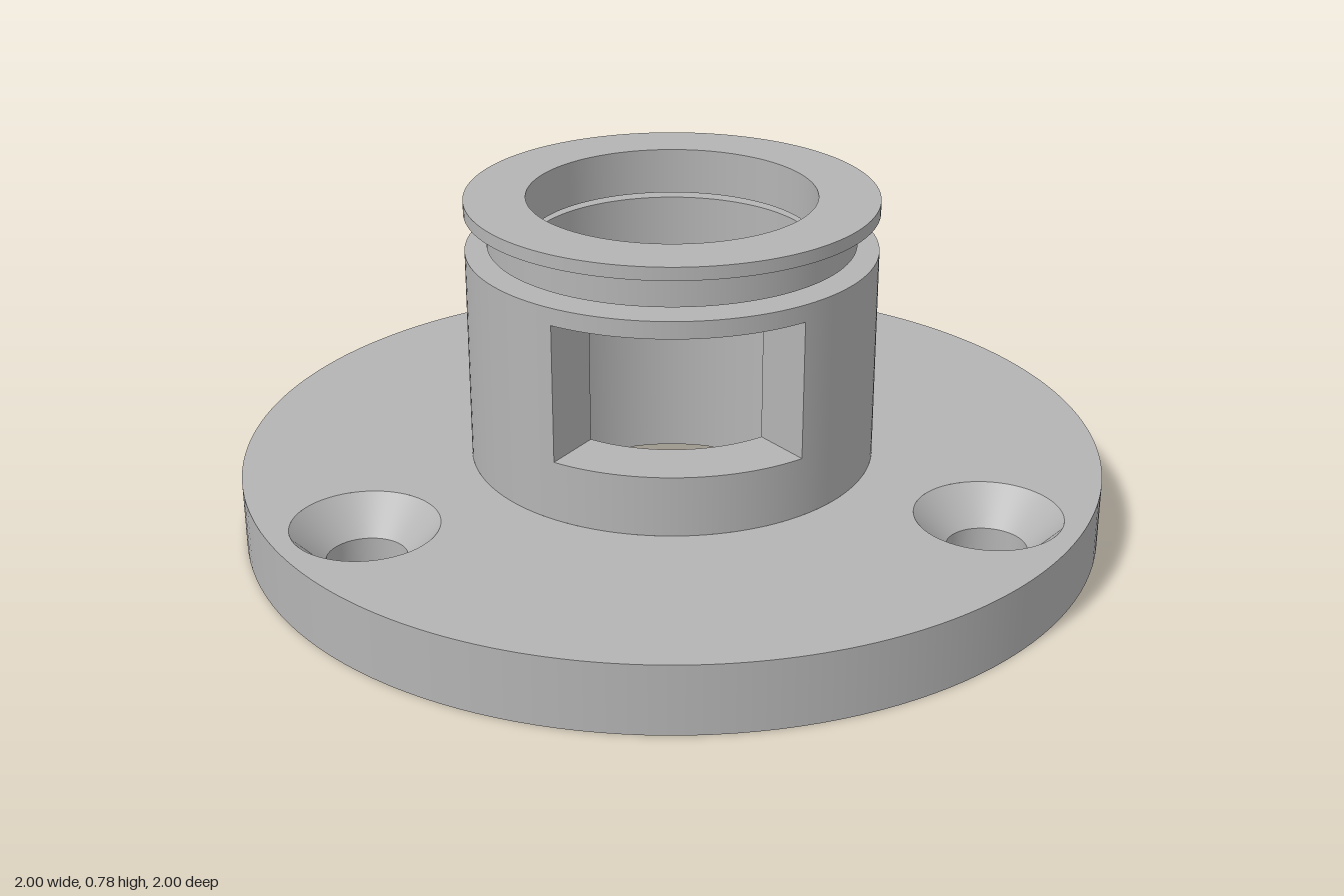
import * as THREE from 'three';
import { mergeGeometries } from 'three/addons/utils/BufferGeometryUtils.js';

const TAU = Math.PI * 2;
const STEP = TAU / 144;
const BORE = 0.33, BODY = 0.47, NECK = 0.42;      // radii
const BASE = 0.16;                                // flange thickness
const HOLE = 0.09, SINK = 0.165, SINK_Y = 0.08;   // screw holes
const SILL = 0.30, HEAD = 0.62, BODY_TOP = 0.66;  // window and body heights
const HALF = THREE.MathUtils.degToRad(35);        // half angle of the window

// Turned surface with a crisp edge at every profile point; angle 0 faces +z
function turn(profile, start = 0, length = TAU) {
  const bands = [];
  for (let i = 0; i + 1 < profile.length; i++) {
    const pts = [profile[i], profile[i + 1]].map(([r, y]) => new THREE.Vector2(r, y));
    bands.push(new THREE.LatheGeometry(pts, Math.round(length / STEP), start, length));
  }
  return mergeGeometries(bands);
}

// Closed ring with a rectangular section
const ring = (outer, y0, y1) =>
  turn([[outer, y0], [outer, y1], [BORE, y1], [BORE, y0], [outer, y0]]);

export function createModel() {
  const group = new THREE.Group();
  const metal = new THREE.MeshStandardMaterial({ color: 0xb4b4b4 });
  metal.name = 'grey metal';

  const add = (name, geometry) => {
    const mesh = new THREE.Mesh(geometry, metal);
    mesh.name = name;
    group.add(mesh);
    return mesh;
  };

  // Centres of the three screw holes, one at the back
  const centres = [0, 1, 2].map((i) => {
    const a = Math.PI + (i * TAU) / 3;
    return [0.79 * Math.sin(a), 0.79 * Math.cos(a)];
  });

  // Flange face pierced by the bore and the screw holes; side 1 is up, -1 down
  function flangeFace(side, y, centreRadius, holeRadius) {
    const shape = new THREE.Shape().absarc(0, 0, 1, 0, TAU);
    shape.holes.push(new THREE.Path().absarc(0, 0, centreRadius, 0, TAU, true));
    for (const [x, z] of centres) {
      shape.holes.push(new THREE.Path().absarc(x, -side * z, holeRadius, 0, TAU, true));
    }
    const face = new THREE.ShapeGeometry(shape, 144);
    return face.rotateX((-side * Math.PI) / 2).translate(0, y, 0);
  }

  // Flange
  add('flangeTop', flangeFace(1, BASE, BODY, SINK));
  add('flangeBottom', flangeFace(-1, 0, BORE, HOLE));
  add('flangeRim', turn([[1, 0], [1, BASE]]));
  add('flangeBore', turn([[BORE, BASE], [BORE, 0]]));

  // Countersunk screw holes
  for (const [x, z] of centres) {
    const profile = [[SINK, BASE], [HOLE, SINK_Y], [HOLE, 0]];
    add('screwHole', turn(profile)).position.set(x, 0, z);
  }

  // Body: full rings below and above the window, an open arc beside it
  add('bodyLower', mergeGeometries([
    turn([[BODY, BASE], [BODY, SILL]]),
    turn([[BORE, SILL], [BORE, BASE]]),
  ]));
  const arc = TAU - 2 * HALF;
  add('bodyMiddle', mergeGeometries([
    turn([[BODY, SILL], [BODY, HEAD]], HALF, arc),
    turn([[BORE, HEAD], [BORE, SILL]], HALF, arc),
  ]));
  add('bodyUpper', turn([[BODY, HEAD], [BODY, BODY_TOP], [BORE, BODY_TOP], [BORE, HEAD]]));

  // Window reveals
  add('windowSill', turn([[BODY, SILL], [BORE, SILL]], -HALF, 2 * HALF));
  add('windowHead', turn([[BORE, HEAD], [BODY, HEAD]], -HALF, 2 * HALF));
  for (const s of [1, -1]) {
    const jamb = new THREE.PlaneGeometry(BODY - BORE, HEAD - SILL);
    jamb.translate((s * (BODY + BORE)) / 2, (SILL + HEAD) / 2, 0);
    add('windowJamb', jamb.rotateY(s * (HALF - Math.PI / 2)));
  }

  // Neck, floating just above the body, and the cap ring on it
  add('neck', ring(NECK, 0.672, 0.75));
  add('capRing', ring(BODY, 0.75, 0.78));

  return group;
}
